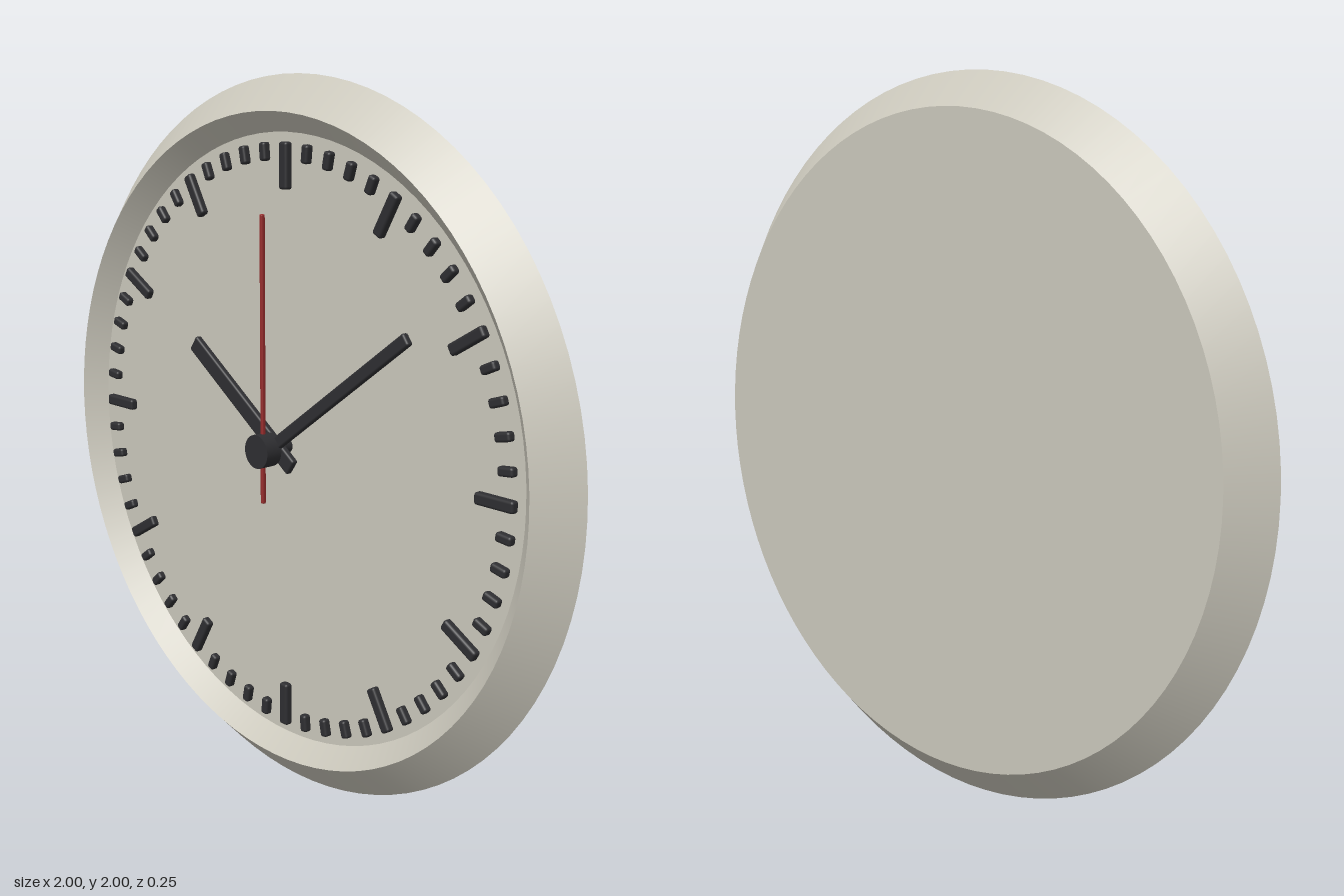
import * as THREE from 'three';
import { RoundedBoxGeometry } from 'three/addons/geometries/RoundedBoxGeometry.js';

const mat = (name, color) => {
  const m = new THREE.MeshStandardMaterial({ color });
  m.name = name;
  return m;
};

export function createModel() {
  const shell = mat('warm grey', 0xc9c6ba);
  const black = mat('charcoal', 0x2e2e31);
  const red = mat('dark red', 0x962c2c);

  const clock = new THREE.Group();
  clock.name = 'wallClock';
  const face = new THREE.Group(); // origin at the dial centre
  face.position.y = 1;
  clock.add(face);

  const add = (name, geometry, material, parent = face) => {
    const mesh = new THREE.Mesh(geometry, material);
    mesh.name = name;
    parent.add(mesh);
    return mesh;
  };

  // Case: one smooth lathe band per facet keeps the rims sharp
  const dialZ = 0.01;
  const profile = [[0, -0.125], [0.905, -0.125], [1, -0.03], [0.905, 0.065], [0.85, dialZ]];
  const names = ['backPlate', 'rearBevel', 'frontBevel', 'innerBevel'];
  names.forEach((name, i) => {
    const points = [profile[i], profile[i + 1]].map(([r, z]) => new THREE.Vector2(r, z));
    add(name, new THREE.LatheGeometry(points, 96).rotateX(Math.PI / 2), shell);
  });

  // Dial
  add('dial', new THREE.CircleGeometry(0.85, 96), shell).position.z = dialZ;

  // Bar running from radius r0 to r1, turned clockwise from twelve
  const bar = (name, r0, r1, width, depth, z, turn, material, parent) => {
    const geometry = new RoundedBoxGeometry(width, r1 - r0, depth, 2, Math.min(width, depth) * 0.3);
    geometry.translate(0, (r0 + r1) / 2, z);
    add(name, geometry, material, parent).rotation.z = -turn;
  };

  // Minute and hour marks
  const marks = new THREE.Group();
  marks.name = 'marks';
  face.add(marks);
  for (let i = 0; i < 60; i++) {
    const hour = i % 5 === 0;
    bar(hour ? 'hourMark' : 'minuteMark', hour ? 0.7 : 0.775, 0.825, hour ? 0.032 : 0.025,
      0.025, dialZ + 0.008, i * Math.PI / 30, black, marks);
  }

  // Hands, stacked outward from the dial
  const deg = Math.PI / 180;
  bar('hourHand', -0.08, 0.43, 0.05, 0.02, 0.052, -55 * deg, black);
  bar('minuteHand', -0.08, 0.635, 0.035, 0.02, 0.074, 54 * deg, black);
  bar('secondHand', -0.15, 0.64, 0.012, 0.012, 0.1, 0, red);

  // Hub and the spindle behind it
  add('hub', new THREE.CylinderGeometry(0.047, 0.047, 0.05, 24).rotateX(Math.PI / 2), black).position.z = 0.1;
  add('spindle', new THREE.CylinderGeometry(0.02, 0.02, 0.08, 16).rotateX(Math.PI / 2), black).position.z = 0.045;

  return clock;
}
